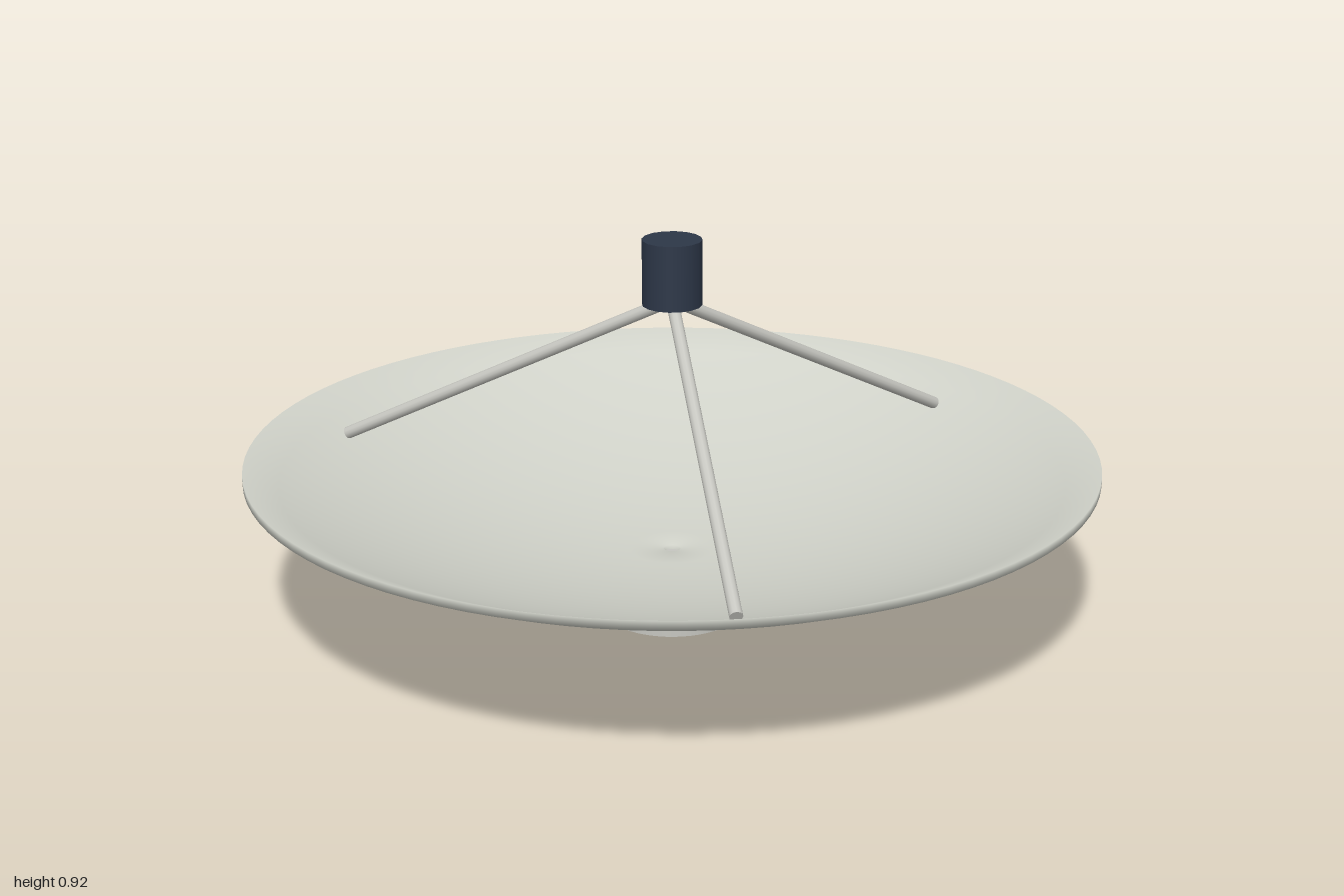
import * as THREE from 'three';

const material = (name, color) => {
  const m = new THREE.MeshStandardMaterial({ color });
  m.name = name;
  return m;
};

export function createModel() {
  const dishPaint = material('pale grey paint', 0xd0d2c9);
  const metal = material('light grey metal', 0xc6c6c0);
  const navy = material('dark navy', 0x2d3748);
  const group = new THREE.Group();

  const add = (name, geometry, mat) => {
    const mesh = new THREE.Mesh(geometry, mat);
    mesh.name = name;
    group.add(mesh);
    return mesh;
  };
  const drum = (name, radius, y0, y1, mat, sides = 48) => {
    const mesh = add(name, new THREE.CylinderGeometry(radius, radius, y1 - y0, sides), mat);
    mesh.position.y = (y0 + y1) / 2;
  };

  // Mount: wide foot and short neck
  drum('base', 0.16, 0, 0.1, metal);
  drum('neck', 0.08, 0.1, 0.15, metal);

  // Dish: a closed parabolic shell with a small hole in the centre
  const hole = 0.02, steps = 12, thickness = 0.02;
  const curve = (r) => 0.14 + 0.24 * r * r;
  const profile = [];
  for (let i = 0; i <= steps; i++) {
    const r = hole + (1 - hole) * i / steps;
    profile.push(new THREE.Vector2(r, curve(r)));
  }
  for (let i = steps; i >= 0; i--) {
    const r = hole + (1 - hole) * i / steps;
    profile.push(new THREE.Vector2(r, curve(r) + thickness));
  }
  profile.push(profile[0].clone());
  const dish = add('dish', new THREE.LatheGeometry(profile, 96), dishPaint);
  dish.rotation.y = Math.PI / 2;

  // Three struts rising from the bowl to the feed
  const top = new THREE.Vector3(0, 0.775, 0);
  for (let i = 0; i < 3; i++) {
    const a = i * Math.PI * 2 / 3;
    const foot = new THREE.Vector3(0.855 * Math.cos(a), 0.343, 0.855 * Math.sin(a));
    const along = top.clone().sub(foot);
    const strut = add('strut' + (i + 1), new THREE.CylinderGeometry(0.015, 0.015, along.length(), 12), metal);
    strut.position.copy(foot).add(top).multiplyScalar(0.5);
    strut.quaternion.setFromUnitVectors(new THREE.Vector3(0, 1, 0), along.normalize());
  }

  // Receiver at the focus
  drum('receiver', 0.07, 0.765, 0.92, navy, 16);
  return group;
}
